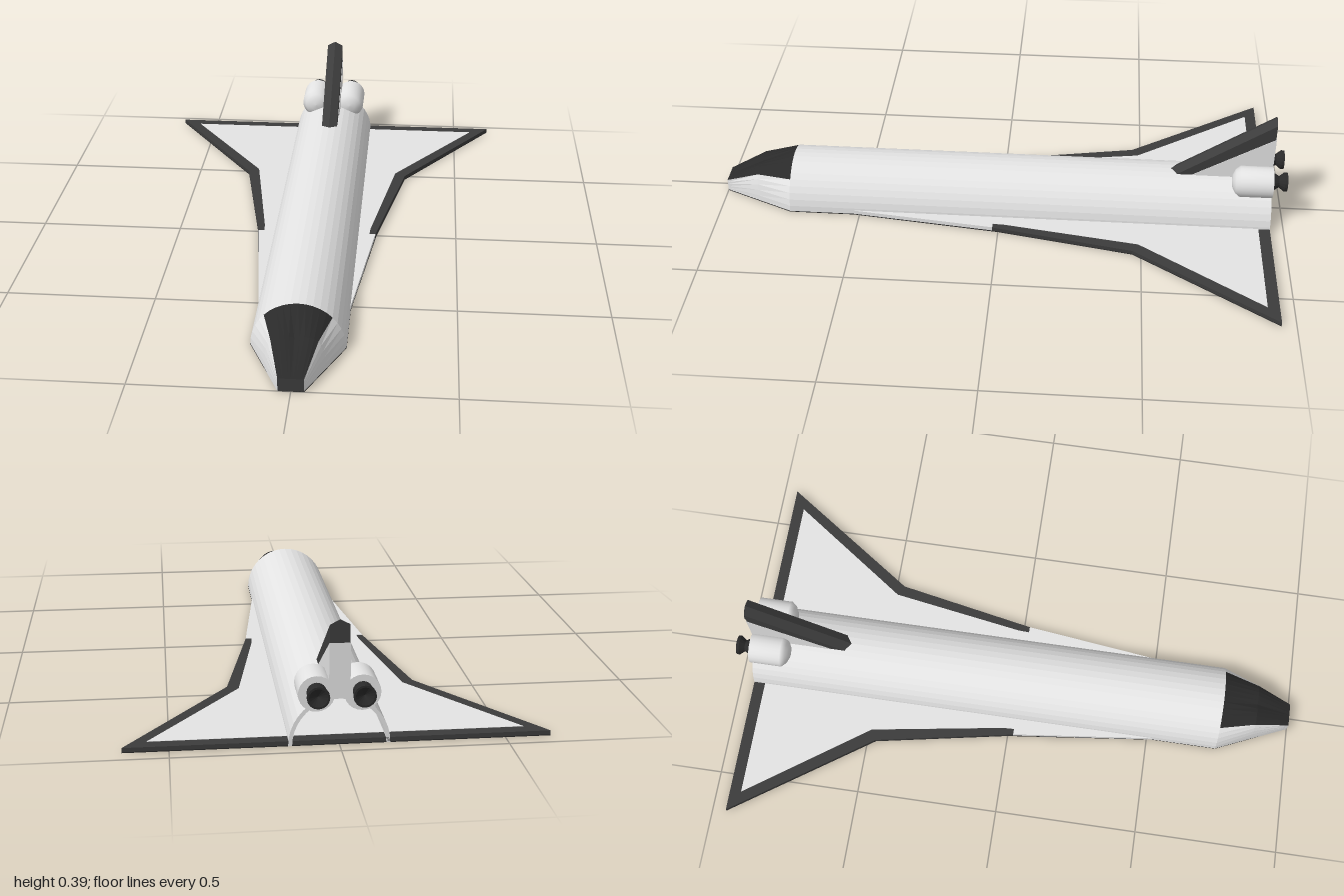
import * as THREE from 'three';
import { ConvexGeometry } from 'three/addons/geometries/ConvexGeometry.js';

const colour = (name, color, side = THREE.FrontSide) => {
  const m = new THREE.MeshStandardMaterial({ color, side, flatShading: name !== 'smooth white' });
  m.name = name;
  return m;
};

export function createModel() {
  const model = new THREE.Group();
  model.name = 'spaceplane';
  const white = colour('white', 0xe4e4e4);
  const dark = colour('dark grey', 0x3c3c3c);
  const black = colour('black', 0x2a2a2a);

  const add = (name, geometry, material) => {
    const mesh = new THREE.Mesh(geometry, material);
    mesh.name = name;
    model.add(mesh);
    return mesh;
  };

  // Horizontal slab from the +x half of an outline, given as [x, z] front to back
  const slab = (half, y, height) => {
    const mirrored = half.map(([x, z]) => [-x, z]).reverse();
    const shape = new THREE.Shape([...half, ...mirrored].map(([x, z]) => new THREE.Vector2(x, -z)));
    return new THREE.ExtrudeGeometry(shape, { depth: height, bevelEnabled: false })
      .rotateX(-Math.PI / 2).translate(0, y, 0);
  };

  // Body: hollow half-round tube, open at the tail
  const RX = 0.152, RY = 0.155, SEG = 20;
  const arc = (inset) => Array.from({ length: SEG + 1 }, (_, i) => {
    const a = Math.PI * i / SEG;
    return new THREE.Vector2((RX - inset) * Math.cos(a), (RY - inset) * Math.sin(a));
  });
  const ring = new THREE.Shape([...arc(0), ...arc(0.012).reverse()]);
  add('fuselage', new THREE.ExtrudeGeometry(ring, { depth: 1.7, bevelEnabled: false })
    .translate(0, 0, -0.95), white);

  // Nose: half-round section narrowing to a small box
  const nosePoint = (row, a) => {
    const t = a / Math.PI;
    const end = t < 0.25 ? [0.04, 0.18 * t]
      : t > 0.75 ? [-0.04, 0.18 * (1 - t)] : [0.16 * (0.5 - t), 0.045];
    const k = row / 2;
    const bulge = row === 1 ? 0.018 * Math.abs(Math.sin(2 * a)) + 0.008 * Math.sin(a) : 0;
    return [
      RX * Math.cos(a) * (1 - k) + end[0] * k,
      RY * Math.sin(a) * (1 - k) + end[1] * k + bulge,
      0.75 + 0.25 * k,
    ];
  };
  const nosePanel = (from, to, steps) => {
    const positions = [];
    for (let row = 0; row < 2; row++) {
      for (let i = 0; i < steps; i++) {
        const a0 = from + (to - from) * i / steps, a1 = from + (to - from) * (i + 1) / steps;
        const a = nosePoint(row, a0), b = nosePoint(row, a1);
        const c = nosePoint(row + 1, a0), d = nosePoint(row + 1, a1);
        positions.push(...a, ...b, ...c, ...b, ...d, ...c);
      }
    }
    const g = new THREE.BufferGeometry();
    g.setAttribute('position', new THREE.Float32BufferAttribute(positions, 3));
    g.computeVertexNormals();
    return g;
  };
  const Q = Math.PI / 4;
  add('noseLeftSide', nosePanel(0, Q, 5), white);
  add('noseTop', nosePanel(Q, 3 * Q, 10), black);
  add('noseRightSide', nosePanel(3 * Q, 4 * Q, 5), white);
  add('noseTip', new THREE.PlaneGeometry(0.08, 0.045).translate(0, 0.0225, 1), dark);

  // Wings: light front strake, dark rear slab with a light top panel
  add('wingStrake', slab([[0.152, 0.52], [0.211, 0.02]], 0.003, 0.014), white);
  add('wingEdge', slab([[0.211, 0.02], [0.215, 0], [0.305, -0.47], [0.637, -0.95]], 0.003, 0.013), dark);
  add('wingTopPanel', slab([[0.19, 0.02], [0.192, -0.02], [0.268, -0.49], [0.565, -0.91]], 0.014, 0.003), white);

  // Heat shield covering the whole underside
  add('belly', slab([[0.04, 1], [0.152, 0.75], [0.152, 0.52], [0.215, 0],
    [0.305, -0.47], [0.637, -0.95]], 0, 0.003), black);

  // Tail fin: wedge with a ridged leading edge
  const V = (x, y, z) => new THREE.Vector3(x, y, z);
  const fin = [V(0, 0.145, -0.585), V(0, 0.386, -0.95)];
  for (const x of [-0.03, 0.03]) {
    fin.push(V(x, 0.145, -0.61), V(x, 0.37, -0.95), V(x, 0.145, -0.95));
  }
  add('tailFin', new ConvexGeometry(fin), dark);

  // Light lower part of the fin, just proud of its sides and back
  const panel = new THREE.Shape([[0.66, 0.145], [0.952, 0.145], [0.952, 0.315]]
    .map(([x, y]) => new THREE.Vector2(x, y)));
  add('finPanel', new THREE.ExtrudeGeometry(panel, { depth: 0.063, bevelEnabled: false })
    .rotateY(Math.PI / 2).translate(-0.0315, 0, 0), white);

  // Engine pods and nozzles: profiles are [radius, distance towards the tail]
  const smoothWhite = white.clone();
  smoothWhite.flatShading = false;
  const lathe = (profile, sides) => new THREE.LatheGeometry(
    profile.map(([r, d]) => new THREE.Vector2(r, d)), sides).rotateX(-Math.PI / 2);
  const pod = lathe([[0, 0.81], [0.022, 0.812], [0.042, 0.822], [0.055, 0.838],
    [0.055, 0.95], [0.055, 0.95], [0, 0.95]], 24);
  const nozzle = lathe([[0.03, 0.945], [0.03, 0.955], [0.02, 0.972], [0.034, 0.99],
    [0.034, 1], [0.028, 1], [0, 0.985]], 16);
  for (const [side, x] of [['left', 0.068], ['right', -0.068]]) {
    add(side + 'EnginePod', pod, smoothWhite).position.set(x, 0.16, 0);
    add(side + 'Nozzle', nozzle, black).position.set(x, 0.165, 0);
  }
  return model;
}
